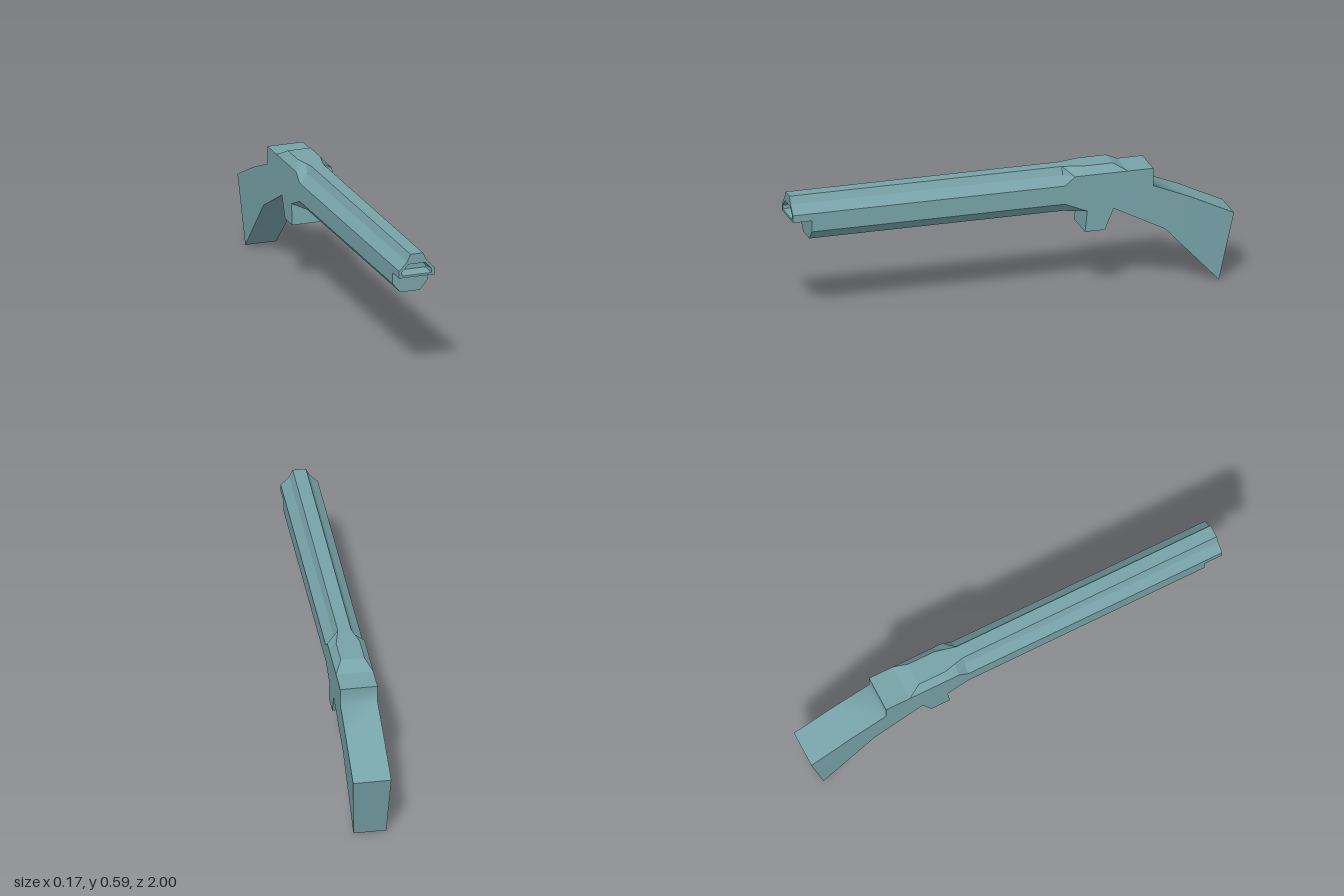
import * as THREE from 'three';
import { toCreasedNormals } from 'three/addons/utils/BufferGeometryUtils.js';

const material = new THREE.MeshStandardMaterial({ color: 0x77a3a8 });
const W = 0.082; // half width of the body

// Skin a list of rings with flat quads, leaving out collapsed triangles
function loft(rings) {
  const pos = [];
  const tri = new THREE.Triangle();
  const add = (a, b, c) => {
    tri.set(a, b, c);
    if (tri.getArea() > 1e-8) for (const p of [a, b, c]) pos.push(p.x, p.y, p.z);
  };
  for (let i = 0; i + 1 < rings.length; i++) {
    const r = rings[i], s = rings[i + 1];
    r.forEach((p, j) => {
      const k = (j + 1) % r.length;
      add(p, r[k], s[k]);
      add(p, s[k], s[j]);
    });
  }
  const geo = new THREE.BufferGeometry();
  geo.setAttribute('position', new THREE.Float32BufferAttribute(pos, 3));
  geo.computeVertexNormals();
  return geo;
}

// Half outline (top to bottom) mirrored into a full ring; points are [x, y, own z]
function ring(z, half) {
  const right = half.map(([x, y, pz = z]) => new THREE.Vector3(x, y, pz));
  const left = right.map((p) => new THREE.Vector3(-p.x, p.y, p.z)).reverse();
  return [...right, ...left];
}

// The ring squeezed onto the middle plane, which closes an end
const closed = (r) => r.map((p) => new THREE.Vector3(0, p.y, p.z));

// Flat shape bounded by a ring
const outline = (r) => new THREE.Shape(r.map((p) => new THREE.Vector2(p.x, p.y)));

function part(group, name, geometry) {
  const mesh = new THREE.Mesh(geometry, material);
  mesh.name = name;
  group.add(mesh);
  return mesh;
}

export function createModel() {
  const group = new THREE.Group();
  group.name = 'longGun';

  // Cross-sections: top edge, shoulder, upper side, lower side, bottom edge
  const rib = [[0.029, 0.588], [0.045, 0.554], [W, 0.516]];
  const step = [[W, 0.483], [0.045, 0.483]];
  const keel = [[W, 0.432], [0.045, 0.388]];
  const receiver = [[0.052, 0.588], [W, 0.554], [W, 0.554]];
  const flat = (x, y) => [[x, y], [x, y], [x, y]];
  const base = (x, y, z) => [[x, y, z], [x, y, z]];
  const heel = base(W, 0.388, -0.455); // where the underside of the stock begins

  // Barrel and receiver as one faceted skin
  const muzzle = ring(1, [...rib, ...step]);
  part(group, 'barrelAndReceiver', loft([
    muzzle,
    ring(0.915, [...rib, ...step]),
    ring(0.915, [...rib, ...keel]),
    ring(-0.235, [...rib, ...keel]),
    ring(-0.28, [[0.039, 0.588], [W, 0.554], [W, 0.554], [W, 0.412], [0.061, 0.388]]),
    ring(-0.335, [...receiver, ...base(W, 0.388)]),
    ring(-0.46, [...receiver, ...heel]),
    ring(-0.52, [...flat(W, 0.554), ...heel]),
    ring(-0.635, [...flat(W, 0.554), ...heel]),
  ]));

  // Stock with the receiver's back wall, softly shaded along its length
  const butt = ring(-1, [...flat(0.084, 0.308), ...base(0.072, 0, -0.935)]);
  part(group, 'stock', toCreasedNormals(loft([
    ring(-0.635, [...flat(W, 0.554), ...heel]),
    ring(-0.635, [...flat(W, 0.473), ...heel]),
    ring(-0.8, [...flat(0.083, 0.405), ...base(0.079, 0.264, -0.69)]),
    butt,
    closed(butt),
  ]), THREE.MathUtils.degToRad(72)));

  // Muzzle face with its opening
  const outer = ring(1, [[0.038, 0.543], [0.068, 0.512], [0.068, 0.493]]);
  const inner = ring(0.94, [[0.036, 0.537], [0.062, 0.51], [0.062, 0.5]]);
  const face = outline(muzzle);
  face.holes.push(outline(outer));
  part(group, 'muzzleFace', new THREE.ShapeGeometry(face)).position.z = 1;

  // Shallow tapered bore behind the opening
  part(group, 'boreWall', loft([[...outer].reverse(), [...inner].reverse()]));
  part(group, 'boreEnd', new THREE.ShapeGeometry(outline(inner))).position.z = 0.94;

  // Trigger guard block under the receiver
  const blockEnd = ring(0, [[W, 0.293, -0.415], [W, 0.293, -0.325]]);
  part(group, 'triggerGuard', loft([
    ring(0, [[W, 0.388, -0.455], [W, 0.388, -0.335]]),
    blockEnd,
    closed(blockEnd),
  ]));

  return group;
}
